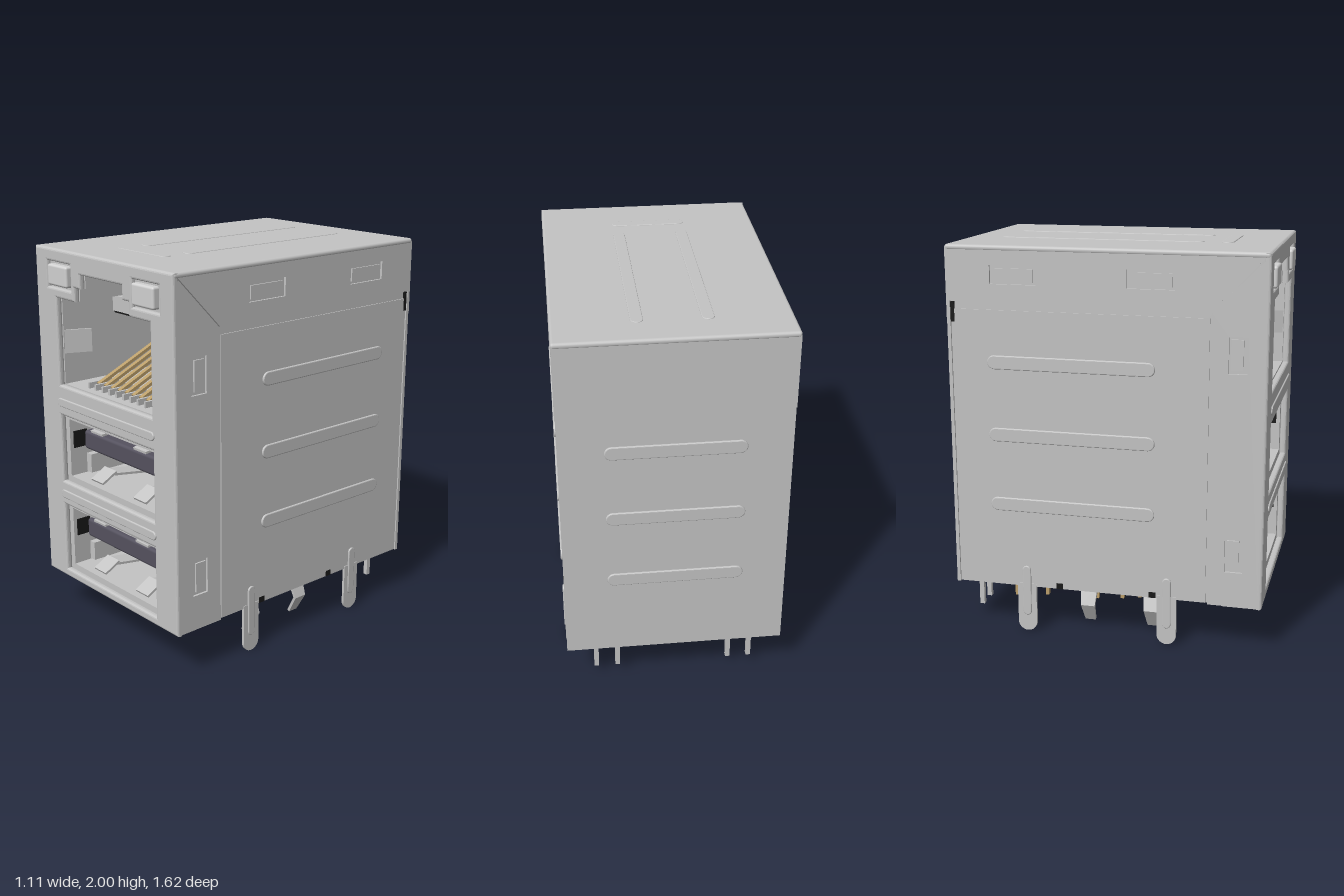
import * as THREE from 'three';
import { RoundedBoxGeometry } from 'three/addons/geometries/RoundedBoxGeometry.js';

const mat = (name, color) => Object.assign(new THREE.MeshStandardMaterial({ color }), { name });

export function createModel() {
  const steel = mat('steel', 0xc4c4c4);
  const lens = mat('lens', 0xd2d2d2);
  const gold = mat('gold', 0xbda06c);
  const tongueMat = mat('tongue plastic', 0x55525f);
  const black = mat('black plastic', 0x181818);
  const model = new THREE.Group();
  model.name = 'stackedJack';

  const add = (name, geo, m = steel) => {
    const mesh = new THREE.Mesh(geo, m);
    mesh.name = name;
    model.add(mesh);
    return mesh;
  };
  // box given by its limits
  const box = (name, x0, x1, y0, y1, z0, z1, m = steel) => {
    const mesh = add(name, new THREE.BoxGeometry(x1 - x0, y1 - y0, z1 - z0), m);
    mesh.position.set((x0 + x1) / 2, (y0 + y1) / 2, (z0 + z1) / 2);
    return mesh;
  };
  const poly = (pts) => new THREE.Shape(pts.map(([x, y]) => new THREE.Vector2(x, y)));
  const rect = (x0, x1, y0, y1) => poly([[x0, y0], [x1, y0], [x1, y1], [x0, y1]]);
  const extrude = (shape, depth, bevel = 0) => new THREE.ExtrudeGeometry(shape, {
    depth: depth - 2 * bevel, bevelEnabled: bevel > 0, bevelSize: bevel, bevelOffset: -bevel,
    bevelThickness: bevel, bevelSegments: 3, curveSegments: 8,
  }).translate(0, 0, bevel);
  // raised rib along x, facing +z, its base at z = 0
  const ribGeo = (len, w, h = 0.014) => {
    const r = w / 2, a = len / 2 - r, s = new THREE.Shape();
    s.moveTo(-a, -r).lineTo(a, -r).absarc(a, 0, r, -Math.PI / 2, Math.PI / 2, false);
    s.lineTo(-a, r).absarc(-a, 0, r, Math.PI / 2, Math.PI * 1.5, false);
    return extrude(s, h, h * 0.4);
  };
  // plate drawn in (z, y), on both sides, its outer face at |x| = x0
  const sidePlates = (name, shape, x0, t, m = steel) => {
    for (const s of [1, -1]) {
      const g = extrude(shape, t).rotateY(-Math.PI / 2);
      add(name, g, m).position.x = s > 0 ? x0 : -x0 + t;
    }
  };

  // front plate and the block of cavities behind it
  const jack = [[-0.38, 1.3], [0.38, 1.3], [0.38, 1.75], [0.22, 1.75], [0.22, 1.82], [0.17, 1.82],
    [0.17, 1.89], [-0.17, 1.89], [-0.17, 1.82], [-0.22, 1.82], [-0.22, 1.75], [-0.38, 1.75]];
  const ports = [[0.79, 1.13], [0.29, 0.64]];
  const front = rect(-0.553, 0.553, 0.235, 1.994);
  front.holes.push(poly(jack), rect(-0.45, -0.25, 1.8, 1.93), rect(0.25, 0.45, 1.8, 1.93));
  const block = rect(-0.53, 0.53, 0.27, 1.97);
  block.holes.push(poly(jack));
  for (const [a, b] of ports) {
    front.holes.push(rect(-0.385, 0.385, a - 0.01, b + 0.01));
    block.holes.push(rect(-0.36, 0.36, a + 0.015, b - 0.015));
  }
  add('frontPlate', extrude(front, 0.035, 0.012)).position.z = 0.76;
  add('cavityBlock', extrude(block, 0.8)).position.z = -0.04;
  box('cavityBack', -0.53, 0.53, 0.27, 1.97, -0.08, -0.04);
  for (const y of [1.21, 0.71]) add('frontRib', ribGeo(0.8, 0.045)).position.set(0, y, 0.788);

  // top, back and side panels
  add('topPanel', new RoundedBoxGeometry(1.11, 0.03, 1.598, 3, 0.014)).position.set(0, 1.981, -0.006);
  box('backPanel', -0.55, 0.55, 0.24, 1.975, -0.803, -0.785);
  sidePlates('sidePanel', rect(-0.79, 0.765, 0.245, 1.97), 0.541, 0.02);
  sidePlates('sideSwage', poly([[-0.78, 0.245], [0.512, 0.245], [0.512, 1.68], [-0.78, 1.68]]), 0.547, 0.008);

  // folded flanges with latch windows
  const windows = [];
  const frontFlange = poly([[0.775, 0.24], [0.775, 1.965], [0.522, 1.712], [0.522, 0.24]]);
  for (const [a, b] of [[1.42, 1.6], [0.42, 0.6]]) {
    frontFlange.holes.push(rect(0.605, 0.695, a, b));
    windows.push([0.615, 0.675, a + 0.015, b - 0.015]);
  }
  const lidFlange = poly([[0.775, 1.98], [-0.803, 1.98], [-0.803, 1.61], [-0.785, 1.61],
    [-0.785, 1.72], [0.522, 1.72]]);
  for (const [a, b] of [[0.11, 0.345], [-0.575, -0.34]]) {
    lidFlange.holes.push(rect(a, b, 1.808, 1.9));
    windows.push([a + 0.015, b - 0.015, 1.82, 1.885]);
  }
  sidePlates('frontFlange', frontFlange, 0.553, 0.015);
  sidePlates('lidFlange', lidFlange, 0.553, 0.015);
  for (const w of windows) sidePlates('latchTab', rect(...w), 0.55, 0.01);
  sidePlates('cornerSlot', rect(-0.784, -0.765, 1.615, 1.715), 0.549, 0.008, black);

  // stiffening ribs on sides, back and top
  for (const y of [1.42, 1.05, 0.685]) {
    for (const s of [1, -1]) {
      add('sideRib', ribGeo(0.85, 0.07).rotateY(s * Math.PI / 2)).position.set(s * 0.543, y, -0.175);
    }
    add('backRib', ribGeo(0.67, 0.07).rotateY(Math.PI)).position.set(0, y, -0.798);
  }
  const topRib = (len, w) => ribGeo(len, w, 0.01).rotateX(-Math.PI / 2);
  for (const s of [1, -1]) {
    add('topRib', topRib(1.05, 0.06).rotateY(Math.PI / 2)).position.set(s * 0.162, 1.99, -0.112);
  }
  add('topRib', topRib(0.38, 0.06)).position.set(0, 1.99, 0.53);

  // indicator lights
  for (const s of [1, -1]) {
    box('lightRecess', s * 0.35 - 0.098, s * 0.35 + 0.098, 1.802, 1.928, 0.74, 0.775);
    add('lightLens', new RoundedBoxGeometry(0.165, 0.105, 0.08, 3, 0.012), lens)
      .position.set(s * 0.345, 1.866, 0.77);
  }

  // network jack: ledge, side springs, comb and sloping contacts
  box('jackLedge', -0.38, 0.38, 1.64, 1.72, -0.04, 0.45);
  box('ledgeShadowGap', -0.38, 0.38, 1.628, 1.64, -0.04, 0.44, black);
  for (const s of [1, -1]) {
    const spring = box('sideSpring', s * 0.355 - 0.006, s * 0.355 + 0.006, 1.46, 1.58, 0.62, 0.76);
    spring.rotation.y = s * 0.4;
  }
  for (let i = 0; i < 9; i++) {
    const x = -0.232 + i * 0.058;
    box('combFin', x - 0.007, x + 0.007, 1.3, 1.55, -0.04, 0.2);
    box('floorFin', x - 0.007, x + 0.007, 1.295, 1.33, 0.58, 0.72);
    if (i === 8) continue;
    const c = add('jackContact', new THREE.BoxGeometry(0.024, 0.016, 0.52), gold);
    c.position.set(x + 0.029, 1.425, 0.44);
    c.rotation.x = 0.42;
  }

  // two lower ports: tongue, contacts and retention springs
  ports.forEach(([a, b], i) => {
    const y = i ? 0.515 : 1.005, drop = i ? 0.065 : 0.025;
    add('portTongue', new RoundedBoxGeometry(0.64, 0.1, 0.72, 2, 0.015), tongueMat).position.set(0, y, 0.34);
    for (const x of [-0.2, -0.06, 0.06, 0.2]) {
      box('portContact', x - 0.03, x + 0.03, y - 0.05 - drop, y - 0.048, 0.1, 0.6, gold);
    }
    for (const s of [1, -1]) {
      const low = box('floorSpring', s * 0.18 - 0.05, s * 0.18 + 0.05, a + 0.03, a + 0.042, 0.35, 0.65);
      low.rotation.x = -0.15;
      const lip = box('floorSpringLip', s * 0.18 - 0.05, s * 0.18 + 0.05, a + 0.04, a + 0.052, 0.63, 0.73);
      lip.rotation.x = 0.5;
      const high = box('ceilingSpring', s * 0.18 - 0.05, s * 0.18 + 0.05, b - 0.045, b - 0.033, 0.4, 0.72);
      high.rotation.x = 0.12;
      box('sideStop', s * 0.34 - 0.02, s * 0.34 + 0.02, a + 0.02, a + 0.12, 0.3, 0.66);
      box('sideSlot', s * 0.357 - 0.004, s * 0.357 + 0.004, y - 0.05, y + 0.04, 0.66, 0.74, black);
    }
  });

  // underside
  box('bottomInsert', -0.525, 0.525, 0.25, 0.275, -0.785, 0.4, black);
  box('bottomPlate', -0.525, 0.525, 0.246, 0.272, 0.4, 0.77);
  box('bottomLip', -0.54, 0.54, 0.232, 0.246, 0.6, 0.775);
  box('bottomTab', -0.4, 0.4, 0.222, 0.247, 0.36, 0.56);
  for (const z of [0.24, -0.245]) sidePlates('insertNub', rect(z - 0.018, z + 0.018, 0.245, 0.275), 0.549, 0.01, black);

  // mounting legs
  for (const z of [0.315, -0.42]) {
    const leg = new THREE.Shape();
    leg.moveTo(z - 0.05, 0.26).lineTo(z - 0.05, 0.05).absarc(z, 0.05, 0.05, Math.PI, Math.PI * 2, false);
    leg.lineTo(z + 0.05, 0.26);
    sidePlates('mountingLeg', leg, 0.551, 0.014);
    for (const s of [1, -1]) {
      add('legRib', ribGeo(0.27, 0.045, 0.012).rotateZ(Math.PI / 2).rotateY(s * Math.PI / 2))
        .position.set(s * 0.544, 0.222, z);
    }
  }

  // bent board clips, narrowing downwards
  const clip = poly([[0.385, 0.25], [0.385, 0.222], [0.415, 0.215], [0.45, 0.13], [0.395, 0.035],
    [0.41, 0.03], [0.466, 0.13], [0.427, 0.23], [0.42, 0.25]]);
  for (const z of [0.215, -0.12]) {
    for (const s of [1, -1]) {
      const g = extrude(clip, 0.09).translate(0, 0, -0.045), p = g.attributes.position;
      for (let i = 0; i < p.count; i++) p.setZ(i, p.getZ(i) * (0.55 + 0.45 * Math.min(1, p.getY(i) / 0.22)));
      g.computeVertexNormals();
      if (s < 0) g.rotateY(Math.PI);
      add('boardClip', g).position.z = z;
    }
  }

  // solder pins
  const rows = [[0.1, [-0.2, -0.06, 0.06, 0.2]], [0.01, [-0.23, -0.1, 0.03, 0.13]],
    [-0.12, [-0.26, -0.04, 0.05, 0.26]], [-0.41, [-0.23, -0.1, 0, 0.13, 0.23]],
    [-0.57, [-0.27, -0.19, -0.05, 0.05, 0.19, 0.27]]];
  for (const [z, xs] of rows) {
    for (const x of xs) box('solderPin', x - 0.011, x + 0.011, z < -0.3 ? 0.07 : 0.09, 0.26, z - 0.009, z + 0.009, gold);
  }
  for (const x of [-0.4, -0.29, 0.29, 0.4]) box('lightPin', x - 0.012, x + 0.012, 0.06, 0.26, -0.735, -0.71);

  return model;
}
